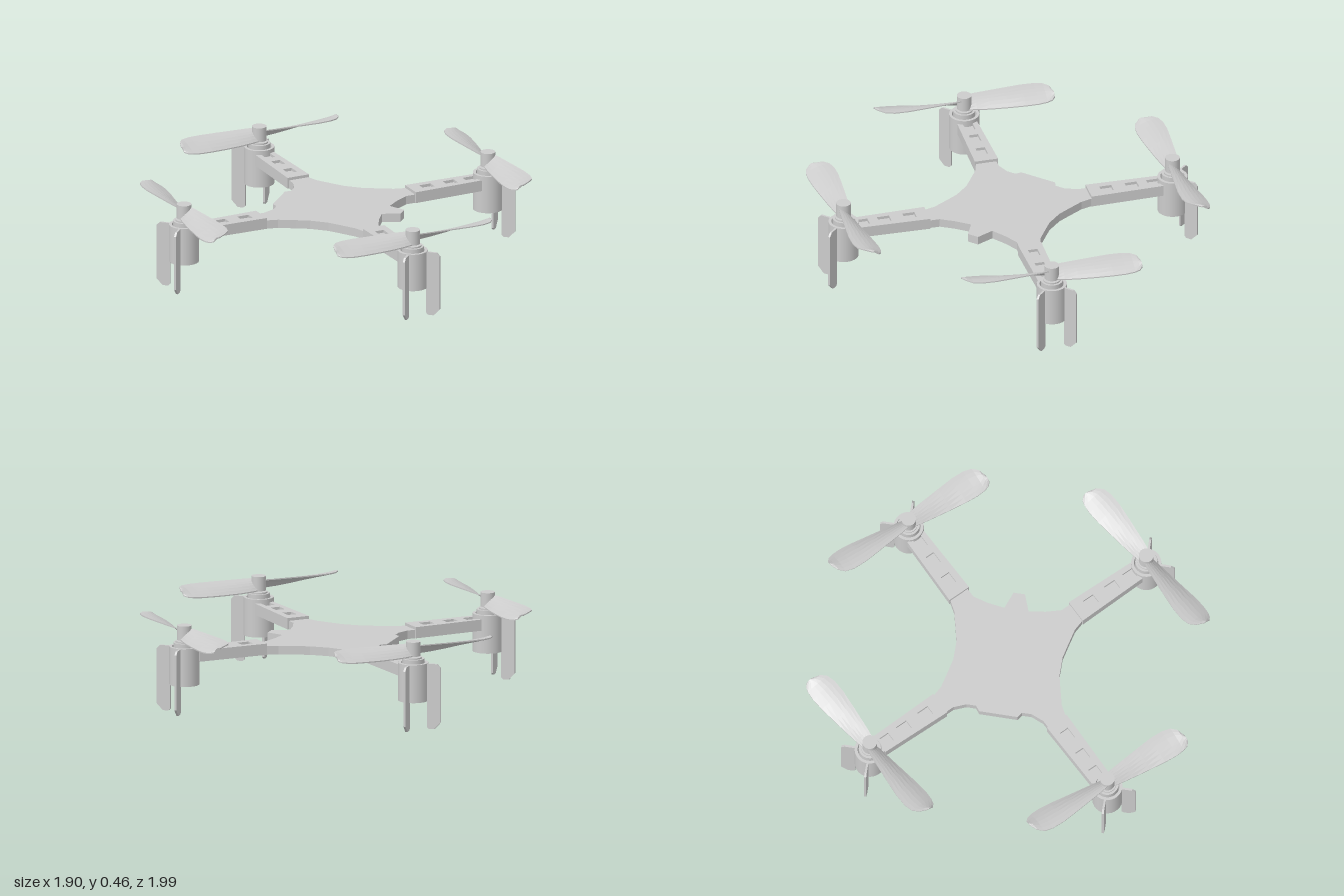
import * as THREE from 'three';

const grey = new THREE.MeshStandardMaterial({ color: 0xcccccc });
const flat = new THREE.MeshStandardMaterial({ color: 0xcccccc, flatShading: true, side: THREE.DoubleSide });

const MOTOR = 0.62;                    // motor distance from the centre along x and z
const DIAG = MOTOR * Math.SQRT2;

function add(parent, name, geometry, material = grey) {
  const mesh = new THREE.Mesh(geometry, material);
  mesh.name = name;
  parent.add(mesh);
  return mesh;
}

const toShape = (pts) => new THREE.Shape(pts.map(([x, y]) => new THREE.Vector2(x, y)));

// Plan outline (x, z) raised between two heights
function slab(shape, bottom, top) {
  return new THREE.ExtrudeGeometry(shape, { depth: top - bottom, bevelEnabled: false })
    .rotateX(Math.PI / 2).translate(0, top, 0);
}

const cylinder = (r0, r1, bottom, top, sides = 28) =>
  new THREE.CylinderGeometry(r1, r0, top - bottom, sides).translate(0, (bottom + top) / 2, 0);

// Central plate with four arms, a rear-edge notch on one side and a tab on the other
function bodyGeometry() {
  const half = [
    [0.36, 0.03], [0.27, 0.063], [0.283, 0.15], [0.305, 0.23], [0.345, 0.27],
    [0.605, 0.541], [0.541, 0.605], [0.265, 0.345], [0.21, 0.315], [0.12, 0.293], [0.05, 0.277],
    [-0.05, 0.277], [-0.12, 0.293], [-0.21, 0.315], [-0.265, 0.345], [-0.541, 0.605], [-0.605, 0.541],
    [-0.345, 0.27], [-0.31, 0.235], [-0.283, 0.17], [-0.283, 0.12], [-0.31, 0.1],
  ];
  const back = half.map(([x, z]) => [x, -z]).reverse();
  return slab(toShape([...half, ...back]), 0.265, 0.31);
}

// Tapered cover over an arm, with three windows; x runs outward along the arm
function armCoverGeometry() {
  const shape = toShape([[0.43, -0.062], [0.815, -0.053], [0.815, 0.053], [0.43, 0.062]]);
  for (const d of [0.525, 0.66, 0.775]) {
    const a = 0.032, b = 0.025;
    shape.holes.push(new THREE.Path([[-a, -b], [-a, b], [a, b], [a, -b]]
      .map(([x, y]) => new THREE.Vector2(d + x, y))));
  }
  return slab(shape, 0.266, 0.325);
}

// Thin landing fin standing on the ground beside the motor
function footGeometry() {
  const shape = toShape([[0.075, 0.01], [0.085, 0], [0.115, 0], [0.148, 0.035],
    [0.148, 0.325], [0.13, 0.343], [0.075, 0.343]]);
  return new THREE.ExtrudeGeometry(shape, { depth: 0.011, bevelEnabled: false }).translate(0, 0, -0.0055);
}

// Open-bottomed sleeve that grips the motor
function holderGeometry() {
  const pts = [[0.063, 0.145], [0.078, 0.145], [0.078, 0.345], [0.063, 0.345], [0.063, 0.145]];
  const sharp = [];
  for (let i = 0; i < pts.length - 1; i++) sharp.push([pts[i], pts[i + 1]]);
  return sharp.map((seg) => new THREE.LatheGeometry(seg.map(([r, y]) => new THREE.Vector2(r, y)), 28));
}

// Twisted, cambered blade lofted through cross-sections; hand = 1 or -1
function bladeGeometry(hand) {
  // distance, high edge offset, low edge offset, low edge height
  const stations = [
    [0.015, -0.03, 0.03, 0.383], [0.06, -0.038, 0.038, 0.382], [0.13, -0.046, 0.048, 0.382],
    [0.22, -0.056, 0.06, 0.385], [0.31, -0.065, 0.072, 0.39], [0.38, -0.064, 0.077, 0.394],
    [0.425, -0.052, 0.074, 0.398], [0.452, -0.025, 0.066, 0.402], [0.468, 0.018, 0.05, 0.408],
  ];
  const N = 6, ring = 2 * (N + 1), pos = [], index = [];
  const face = (a, b, c) => (hand > 0 ? index.push(a, b, c) : index.push(a, c, b));
  stations.forEach(([s, high, low, lowY], i) => {
    for (let k = 0; k < ring; k++) {
      const top = k <= N;
      const t = (top ? k : ring - 1 - k) / N;
      const v = high + (low - high) * t;
      const highY = i === stations.length - 1 ? 0.425 : 0.436;
      const y = highY + (lowY - highY) * t + 0.009 * Math.sin(Math.PI * t) + (top ? 0.003 : -0.003);
      pos.push(s, y, -hand * v);
    }
  });
  for (let i = 0; i < stations.length - 1; i++) {
    for (let k = 0; k < ring; k++) {
      const a = i * ring + k, b = i * ring + (k + 1) % ring;
      face(a, a + ring, b);
      face(b, a + ring, b + ring);
    }
  }
  const last = (stations.length - 1) * ring;
  for (let k = 1; k < ring - 1; k++) {
    face(0, k, k + 1);
    face(last, last + k + 1, last + k);
  }
  const geometry = new THREE.BufferGeometry();
  geometry.setAttribute('position', new THREE.Float32BufferAttribute(pos, 3));
  geometry.setIndex(index);
  geometry.computeVertexNormals();
  return geometry;
}

// Motor, holder, feet, propeller and arm cover of one corner
function createCorner(hand) {
  const corner = new THREE.Group();
  const cover = add(corner, 'armCover', armCoverGeometry());
  cover.rotation.y = -Math.PI / 4;

  const unit = new THREE.Group();
  unit.name = 'motorUnit';
  unit.position.set(MOTOR, 0, MOTOR);
  corner.add(unit);

  for (const part of holderGeometry()) add(unit, 'motorHolder', part, new THREE.MeshStandardMaterial({ color: 0xcccccc, side: THREE.DoubleSide }));
  add(unit, 'motor', cylinder(0.057, 0.057, 0.16, 0.366));
  add(unit, 'motorBoss', cylinder(0.045, 0.045, 0.366, 0.374));
  add(unit, 'motorShaft', cylinder(0.012, 0.012, 0.37, 0.39, 12));
  add(unit, 'propellerHub', cylinder(0.038, 0.038, 0.38, 0.455));

  // One fin points sideways, the other along the length
  for (const turn of [0, -Math.PI / 2]) {
    add(unit, 'landingFoot', footGeometry()).rotation.y = turn;
  }

  const lean = 0.817;
  for (const turn of [0, Math.PI]) {
    const blade = add(unit, 'propellerBlade', bladeGeometry(hand), flat);
    blade.rotation.y = turn + (hand > 0 ? lean : Math.PI / 2 - lean);
  }
  return corner;
}

export function createModel() {
  const model = new THREE.Group();
  model.name = 'quadcopter';
  add(model, 'bodyPlate', bodyGeometry());

  // Neighbouring propellers are mirror images
  const names = ['frontLeftCorner', 'backLeftCorner', 'backRightCorner', 'frontRightCorner'];
  names.forEach((name, k) => {
    const corner = createCorner(k % 2 ? -1 : 1);
    corner.name = name;
    corner.rotation.y = k * Math.PI / 2;
    model.add(corner);
  });
  return model;
}
